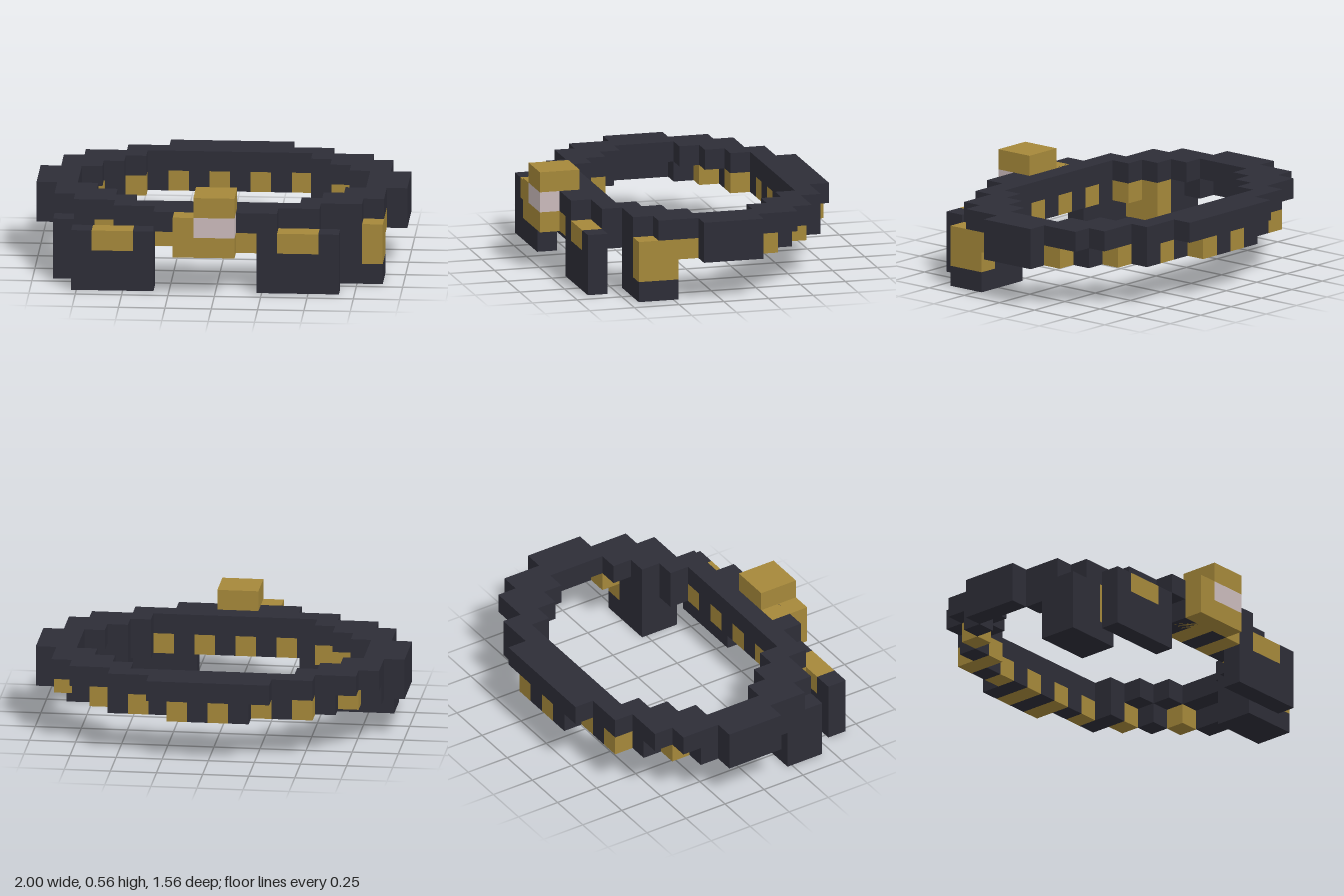
import * as THREE from 'three';

const U = 1 / 9; // size of one block

export function createModel() {
  const dark = new THREE.MeshStandardMaterial({ color: 0x2d2d37 });
  dark.name = 'dark leather';
  const gold = new THREE.MeshStandardMaterial({ color: 0xa5883a });
  gold.name = 'gold';
  const pale = new THREE.MeshStandardMaterial({ color: 0xcabaBB });
  pale.name = 'pale gem';

  const model = new THREE.Group();
  model.name = 'belt';

  const group = (name) => {
    const g = new THREE.Group();
    g.name = name;
    model.add(g);
    return g;
  };

  // Box given by its limits in block units
  const block = (parent, name, mat, [x0, x1], [y0, y1], [z0, z1]) => {
    const geo = new THREE.BoxGeometry((x1 - x0) * U, (y1 - y0) * U, (z1 - z0) * U);
    const mesh = new THREE.Mesh(geo, mat);
    mesh.name = name;
    mesh.position.set((x0 + x1) * U / 2, (y0 + y1) * U / 2, (z0 + z1) * U / 2);
    parent.add(mesh);
  };

  // Upper band: [z start, z end, inner x, outer x], both sides of x = 0
  const upper = group('upperBand');
  const upperRows = [
    [-7, -6, 0, 3], [-6, -5, 0, 5], [-5, -4, 4, 7], [-4, -3, 5, 8], [-3, -2, 6, 8],
    [-2, 1, 7, 9], [1, 2, 6, 8], [2, 3, 5, 8], [3, 4, 4, 7], [4, 5, 0, 5], [5, 6, 0, 3],
  ];
  for (const [z0, z1, a, b] of upperRows) {
    const spans = a === 0 ? [[-b, b]] : [[-b, -a], [a, b]];
    for (const span of spans) block(upper, 'bandRow', dark, span, [3, 4], [z0, z1]);
  }

  // Lower band: thinner, with a gold stud in every second column
  const lower = group('lowerBand');
  const lowerRows = [
    [-7, 0, 2], [-6, 0, 5], [-5, 4, 6], [-4, 6, 7], [-3, 7, 8],
    [1, 7, 8], [3, 4, 5], [4, 0, 5], [5, 0, 2],
  ];
  for (const [z, a, b] of lowerRows) {
    for (let i = a; i < b; i++) {
      for (const x of [i, -i - 1]) {
        const stud = x % 2 !== 0;
        block(lower, stud ? 'stud' : 'bandBlock', stud ? gold : dark, [x, x + 1], [2, 3], [z, z + 1]);
      }
    }
  }
  for (const x of [-9, 8]) block(lower, 'sideBand', dark, [x, x + 1], [2, 3], [-2, 1]);

  // Flat front pouches with a gold clasp on the upper edge
  for (const x of [-7, 2]) {
    const pouch = group('frontPouch');
    block(pouch, 'pouchBody', dark, [x, x + 4], [0, 2], [5, 6]);
    block(pouch, 'pouchEdge', dark, [x, x + 1], [2, 3], [5, 6]);
    block(pouch, 'pouchClasp', gold, [x + 1, x + 3], [2, 3], [5, 6]);
    block(pouch, 'pouchEdge', dark, [x + 3, x + 4], [2, 3], [5, 6]);
  }

  // Deep side pouches with a gold strap at one end
  for (const [x, strap] of [[-8, -6], [5, 7]]) {
    const pouch = group('sidePouch');
    block(pouch, 'pouchBody', dark, [x, x + 2], [0, 3], [2, 4]);
    block(pouch, 'pouchFoot', dark, [strap, strap + 1], [0, 1], [2, 4]);
    block(pouch, 'pouchStrap', gold, [strap, strap + 1], [1, 3], [2, 4]);
  }

  // Buckle with a pale gem under a gold cap
  const buckle = group('buckle');
  block(buckle, 'buckleSide', gold, [-2, -1], [2, 4], [5, 7]);
  block(buckle, 'buckleBase', gold, [-1, 1], [2, 3], [5, 7]);
  block(buckle, 'buckleGem', pale, [-1, 1], [3, 4], [6, 7]);
  block(buckle, 'buckleCap', gold, [-1, 1], [4, 5], [5, 7]);

  return model;
}
